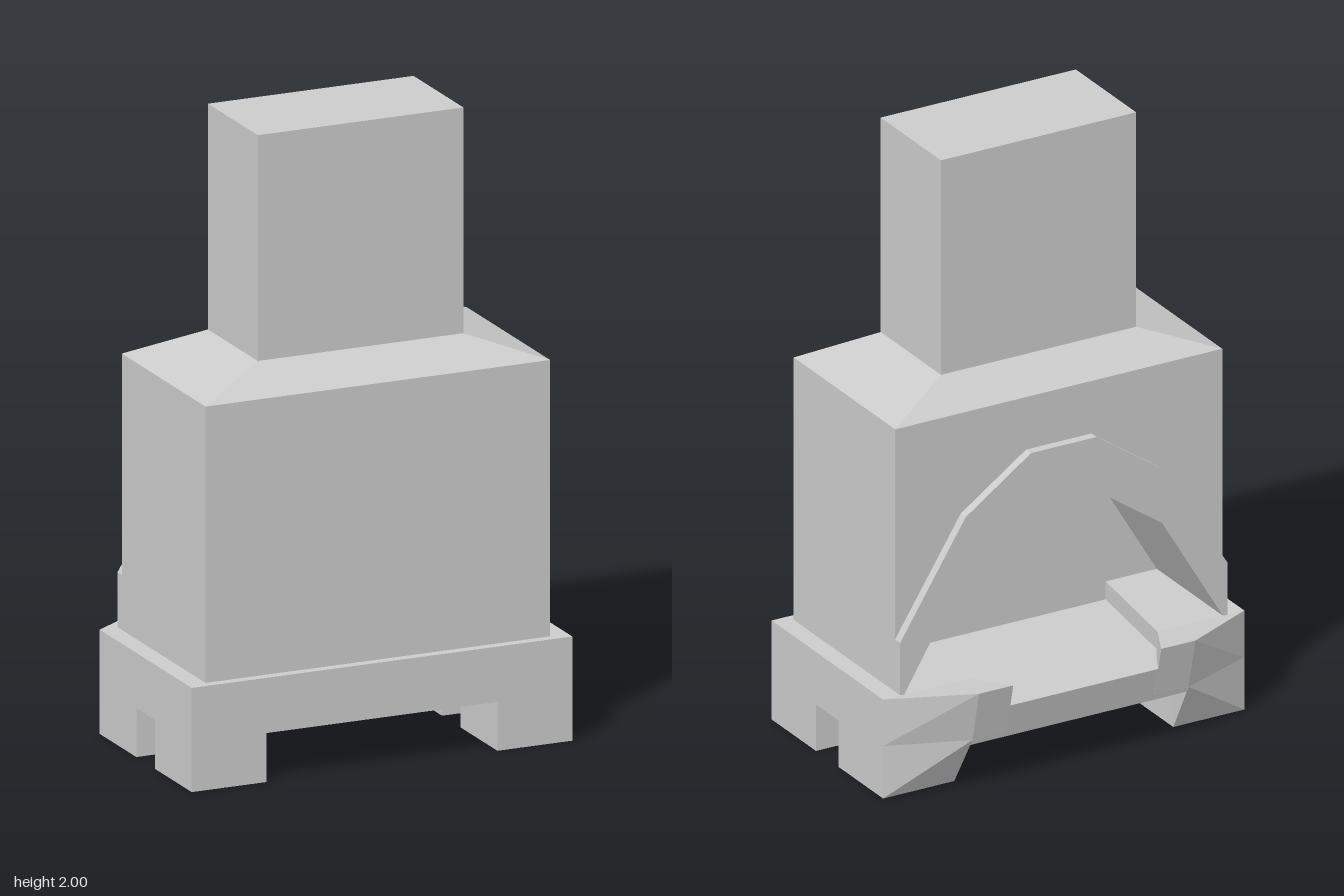
import * as THREE from 'three';
import { ConvexGeometry } from 'three/addons/geometries/ConvexGeometry.js';

const material = new THREE.MeshStandardMaterial({ color: 0xcccccc, flatShading: true });

export function createModel() {
  const group = new THREE.Group();

  const add = (name, geometry) => {
    const mesh = new THREE.Mesh(geometry, material);
    mesh.name = name;
    group.add(mesh);
    return mesh;
  };

  // box given by its limits on each axis
  const block = (name, x0, x1, y0, y1, z0, z1) => {
    const g = new THREE.BoxGeometry(x1 - x0, y1 - y0, z1 - z0);
    g.translate((x0 + x1) / 2, (y0 + y1) / 2, (z0 + z1) / 2);
    return add(name, g);
  };

  const hull = (name, points) =>
    add(name, new ConvexGeometry(points.map((p) => new THREE.Vector3(...p))));

  const shapeOf = (points) => new THREE.Shape(points.map((p) => new THREE.Vector2(...p)));

  // mirrors a half outline (starting at the left end) across x = 0
  const mirrored = (half) => [...half, ...half.map(([x, y]) => [-x, y]).reverse()];

  // extrudes an upright x-y outline from z0 to z1
  const upright = (name, points, z0, z1) => {
    const g = new THREE.ExtrudeGeometry(shapeOf(points), { depth: z1 - z0, bevelEnabled: false });
    g.translate(0, 0, z0);
    return add(name, g);
  };

  const baseTop = 0.33, floorY = 0.27, underside = 0.155;
  const backZ = -0.235, fireboxZ = 0.13;

  // faceted arch outlines, left half
  const innerArch = [[0.56, baseTop], [0.345, 0.69], [0.115, 0.85]];
  const outerArch = [[0.575, baseTop], [0.575, 0.505], [0.345, 0.87], [0.115, 1.03]];
  const arched = (outer) => [
    ...mirrored(outer),
    ...mirrored(innerArch).reverse(),
  ];

  // body: hollow firebox section behind, solid wall in front
  upright('fireboxBody', arched([[0.575, baseTop], [0.575, 1.205]]), backZ, fireboxZ);
  block('frontWall', -0.575, 0.575, baseTop, 1.205, fireboxZ, 0.37);
  upright('archSurround', arched(outerArch), -0.265, backZ);

  // sloped shoulder
  const shoulder = [];
  for (const s of [-1, 1]) {
    shoulder.push([s * 0.575, 1.205, backZ], [s * 0.575, 1.205, 0.37]);
    shoulder.push([s * 0.343, 1.285, -0.115], [s * 0.343, 1.285, 0.245]);
  }
  hull('shoulder', shoulder);
  block('chimney', -0.343, 0.343, 1.285, 2, -0.115, 0.245);

  // base slab, with a raised rim around the hearth floor
  block('baseSlab', -0.635, 0.635, underside, floorY, -0.265, 0.4);
  const rim = mirrored([[0.635, -0.4], [0.635, 0.265], [0.33, 0.265], [0.38, -fireboxZ]]);
  const rimGeometry = new THREE.ExtrudeGeometry(shapeOf(rim), {
    depth: baseTop - floorY,
    bevelEnabled: false,
  });
  rimGeometry.rotateX(-Math.PI / 2).translate(0, floorY, 0);
  add('baseRim', rimGeometry);

  // hearth ledge with a leaning outer edge
  const ledge = [];
  for (const x of [-0.38, 0.38]) {
    ledge.push([x, underside, -0.265], [x, floorY, -0.265]);
    ledge.push([x, underside, -0.355], [x, floorY, -0.385]);
  }
  hull('hearthLedge', ledge);

  for (const s of [-1, 1]) {
    // feet
    const [x0, x1] = s > 0 ? [0.385, 0.635] : [-0.635, -0.385];
    block('frontFoot', x0, x1, 0, underside, 0.135, 0.4);
    block('backFoot', x0, x1, 0, underside, -0.265, 0);

    // hearth corners: raised lip above, wedge running down to the foot
    hull('hearthCorner', [
      [s * 0.635, baseTop, -0.265], [s * 0.33, baseTop, -0.265],
      [s * 0.26, 0.345, -0.405], [s * 0.38, 0.345, -0.405],
      [s * 0.635, 0.175, -0.265], [s * 0.33, 0.175, -0.265],
      [s * 0.26, 0.175, -0.365], [s * 0.38, 0.175, -0.365],
    ]);
    hull('cornerWedge', [
      [s * 0.635, 0.175, -0.265], [s * 0.38, 0.175, -0.365], [s * 0.38, 0.175, -0.265],
      [s * 0.635, 0, -0.265], [s * 0.385, 0, -0.265],
    ]);
  }

  return group;
}
